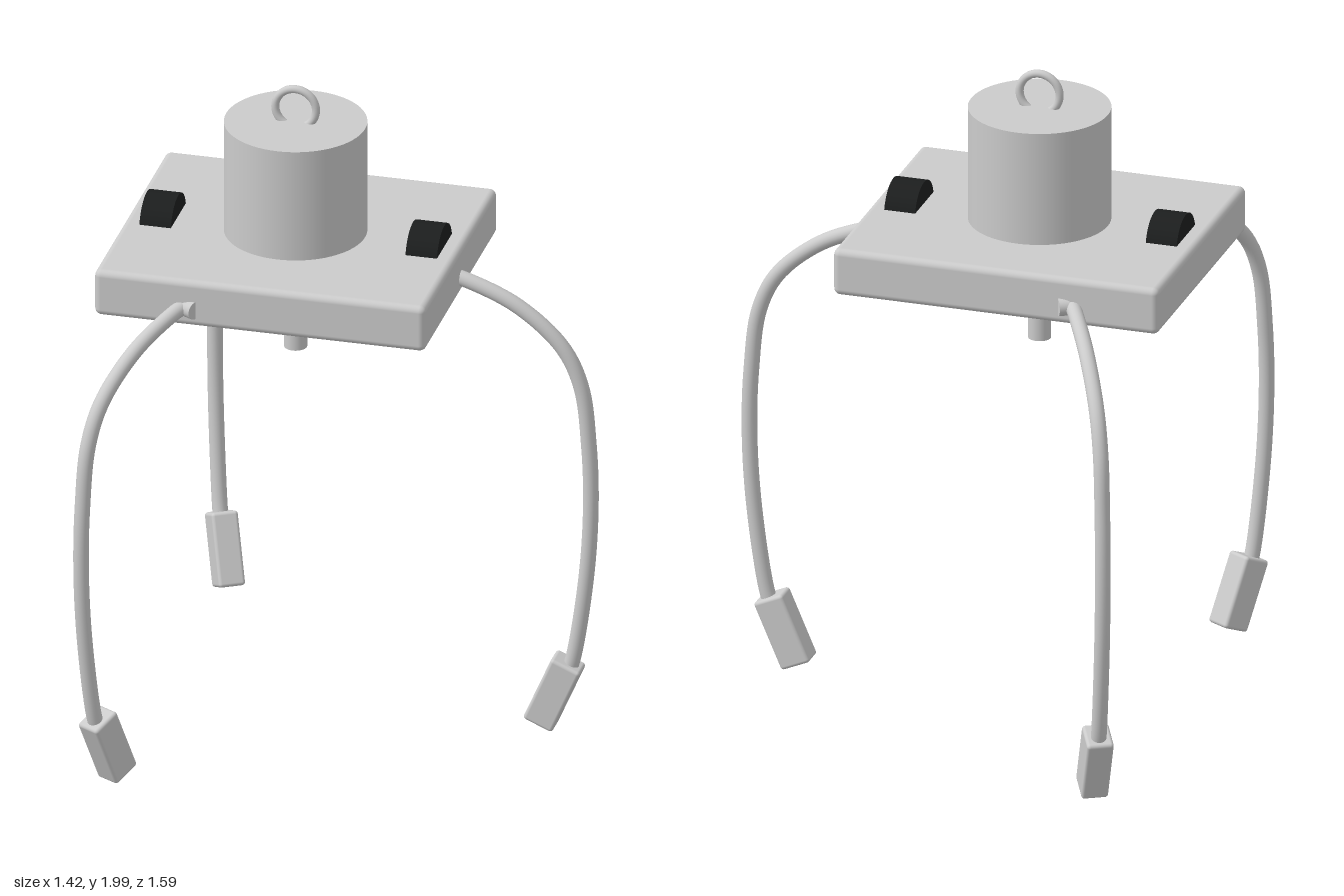
import * as THREE from 'three';
import { RoundedBoxGeometry } from 'three/addons/geometries/RoundedBoxGeometry.js';

const grey = new THREE.MeshStandardMaterial({ color: 0xcccccc });
const black = new THREE.MeshStandardMaterial({ color: 0x1c1e1e });

function add(parent, name, geometry, position, material = grey) {
  const mesh = new THREE.Mesh(geometry, material);
  mesh.name = name;
  mesh.position.set(...position);
  parent.add(mesh);
  return mesh;
}

// Curved arm reaching out along +x and ending in a tilted finger pad
function createArm() {
  const arm = new THREE.Group();
  const path = new THREE.CatmullRomCurve3([
    [0.455, 1.445], [0.51, 1.434], [0.67, 1.367], [0.805, 1.25], [0.862, 1.13],
    [0.886, 0.94], [0.892, 0.75], [0.88, 0.53], [0.842, 0.26], [0.82, 0.18],
  ].map(([r, y]) => new THREE.Vector3(r, y, 0)), false, 'centripetal');
  add(arm, 'armTube', new THREE.TubeGeometry(path, 64, 0.023, 20), [0, 0, 0]);

  // Hinge pin lying across the arm root
  const pin = add(arm, 'hingePin', new THREE.CylinderGeometry(0.027, 0.027, 0.086, 24), [0.462, 1.442, 0]);
  pin.rotation.x = Math.PI / 2;

  const pad = add(arm, 'fingerPad', new RoundedBoxGeometry(0.095, 0.22, 0.08, 3, 0.01), [0.782, 0.13, 0]);
  pad.rotation.z = -0.407;
  return arm;
}

export function createModel() {
  const model = new THREE.Group();
  model.name = 'gripper';

  // Everything is arranged around the vertical axis of the housing
  const body = new THREE.Group();
  body.name = 'body';
  body.position.x = -0.21;
  model.add(body);

  add(body, 'basePlate', new RoundedBoxGeometry(1, 0.145, 0.84, 4, 0.02), [0, 1.461, 0]);
  add(body, 'motorHousing', new THREE.CylinderGeometry(0.21, 0.21, 0.36, 64), [0, 1.705, 0]);
  add(body, 'hangingRing', new THREE.TorusGeometry(0.0615, 0.012, 16, 48), [0, 1.927, 0]);
  add(body, 'lowerShaft', new THREE.CylinderGeometry(0.034, 0.034, 0.27, 32), [0, 1.29, 0]);

  // Half-sunk thumb wheels on both sides of the plate
  for (const side of [-1, 1]) {
    const wheel = add(body, side > 0 ? 'leftWheel' : 'rightWheel',
      new THREE.CylinderGeometry(0.09, 0.09, 0.095, 40), [side * 0.402, 1.51, 0], black);
    wheel.rotation.z = Math.PI / 2;
  }

  // Three arms evenly spaced around the axis
  for (let i = 0; i < 3; i++) {
    const arm = createArm();
    arm.name = 'arm' + (i + 1);
    arm.rotation.y = (i * Math.PI * 2) / 3;
    body.add(arm);
  }
  return model;
}
